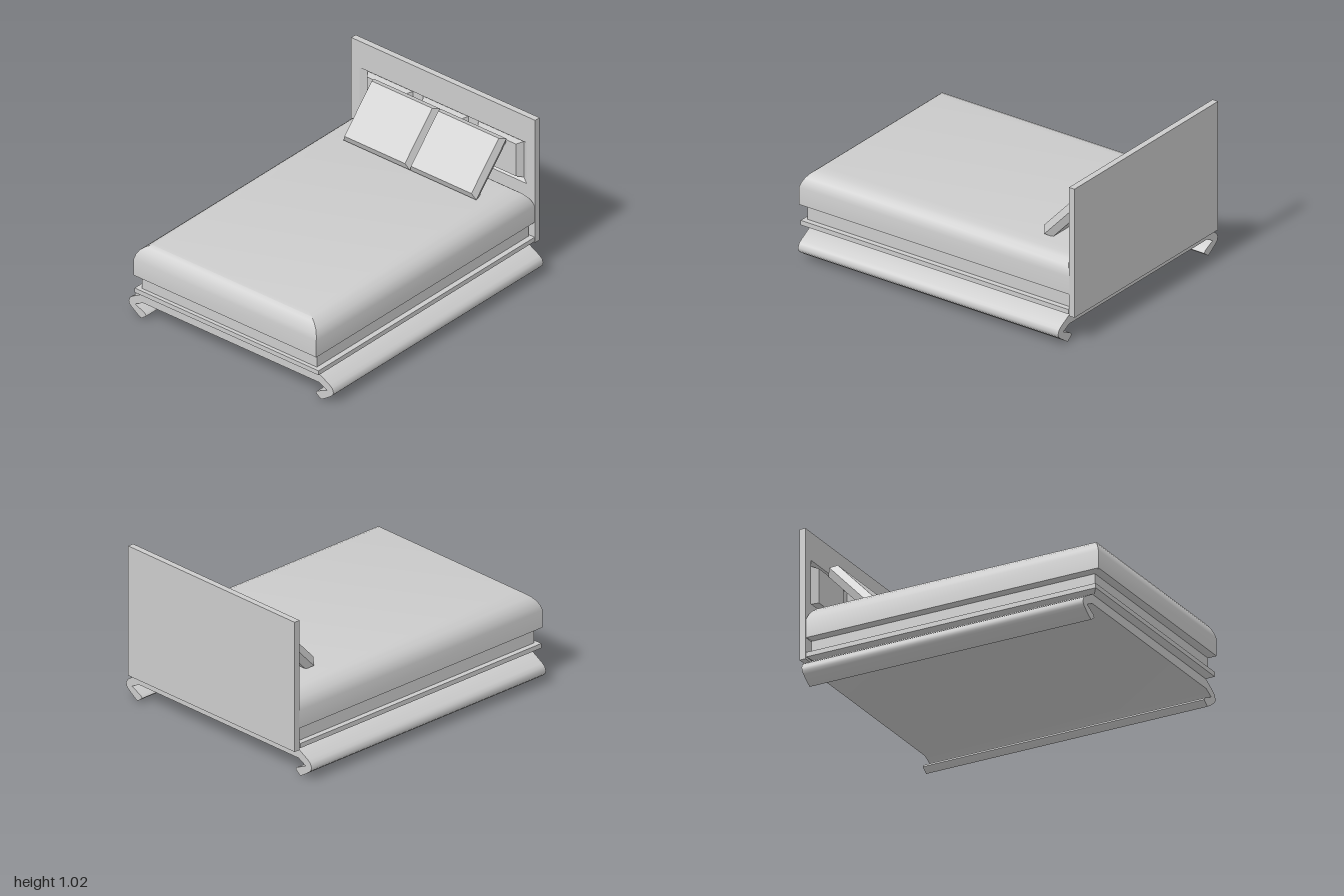
import * as THREE from 'three';
import { toCreasedNormals } from 'three/addons/utils/BufferGeometryUtils.js';

const material = new THREE.MeshStandardMaterial({ color: 0xcccccc });

// Lofts rectangles [halfWidth, halfHeight, depth, centreY] along +z and caps both ends.
function loft(rings, crease = 0.1) {
  const loops = rings.map(([w, h, z, cy = 0]) =>
    [[w, cy - h, z], [w, cy + h, z], [-w, cy + h, z], [-w, cy - h, z]]);
  const pos = [];
  const quad = (a, b, c, d) => pos.push(...a, ...b, ...c, ...a, ...c, ...d);
  for (let r = 0; r < loops.length - 1; r++) {
    for (let i = 0; i < 4; i++) {
      const j = (i + 1) % 4;
      quad(loops[r][i], loops[r][j], loops[r + 1][j], loops[r + 1][i]);
    }
  }
  quad(...[...loops[0]].reverse());
  quad(...loops[loops.length - 1]);
  const geo = new THREE.BufferGeometry();
  geo.setAttribute('position', new THREE.Float32BufferAttribute(pos, 3));
  geo.computeVertexNormals();
  return toCreasedNormals(geo, crease);
}

// Horizontal layer: rings are [halfWidth, halfLength, y].
const layer = (rings, crease) => loft(rings, crease).rotateX(-Math.PI / 2);

export function createModel() {
  const group = new THREE.Group();
  const add = (name, geo, x = 0, y = 0, z = 0) => {
    const mesh = new THREE.Mesh(geo, material);
    mesh.name = name;
    mesh.position.set(x, y, z);
    group.add(mesh);
    return mesh;
  };

  // Base slab with curled side rails, one profile run along the bed
  const half = [[0.675, 0.17], [0.755, 0.125], [0.775, 0.11], [0.785, 0.085], [0.78, 0.065],
    [0.765, 0.05], [0.715, 0.015], [0.69, 0.0], [0.675, 0.01], [0.65, 0.03], [0.66, 0.045],
    [0.735, 0.08], [0.675, 0.11]];
  const outline = [...half, ...half.map(([x, y]) => [-x, y]).reverse()];
  const railGeo = new THREE.ExtrudeGeometry(
    new THREE.Shape(outline.map(([x, y]) => new THREE.Vector2(x, y))),
    { depth: 1.885, bevelEnabled: false });
  add('baseWithCurledRails', toCreasedNormals(railGeo, 0.75), 0, 0, -0.94);

  // Platform with a bevelled underside, and the box base on it
  add('platform', layer([[0.67, 0.94, 0.17], [0.705, 0.97, 0.19], [0.705, 0.97, 0.22]]), 0, 0, 0.015);
  add('boxBase', layer([[0.67, 0.95, 0.21], [0.67, 0.95, 0.31]]), 0, 0, 0.01);

  // Mattress with rolled top edges
  add('mattress', layer([
    [0.67, 0.95, 0.3], [0.7, 0.98, 0.317], [0.7, 0.98, 0.43], [0.692, 0.97, 0.46],
    [0.675, 0.955, 0.49], [0.645, 0.935, 0.515], [0.61, 0.915, 0.53], [0.565, 0.89, 0.537],
  ], 0.65), 0, 0, 0.02);

  // Headboard with a bevelled recess
  add('headboard', loft([
    [0.705, 0.42, -1, 0.6], [0.705, 0.42, -0.96, 0.6],
    [0.64, 0.14, -0.96, 0.7], [0.6, 0.123, -0.982, 0.7],
  ]));

  // Three raised panels in the recess
  for (const x of [-0.425, 0, 0.425]) {
    add('headboardPanel', loft([[0.175, 0.122, -0.983], [0.145, 0.11, -0.945]]), x, 0.7, 0);
  }

  // Two pillows leaning on the headboard
  const pillowGeo = loft([[0.232, 0.18, -0.0435], [0.253, 0.2, 0], [0.232, 0.18, 0.0435]]);
  for (const x of [-0.242, 0.268]) {
    add('pillow', pillowGeo, x, 0.694, -0.7825).rotation.x = -0.75;
  }

  return group;
}
